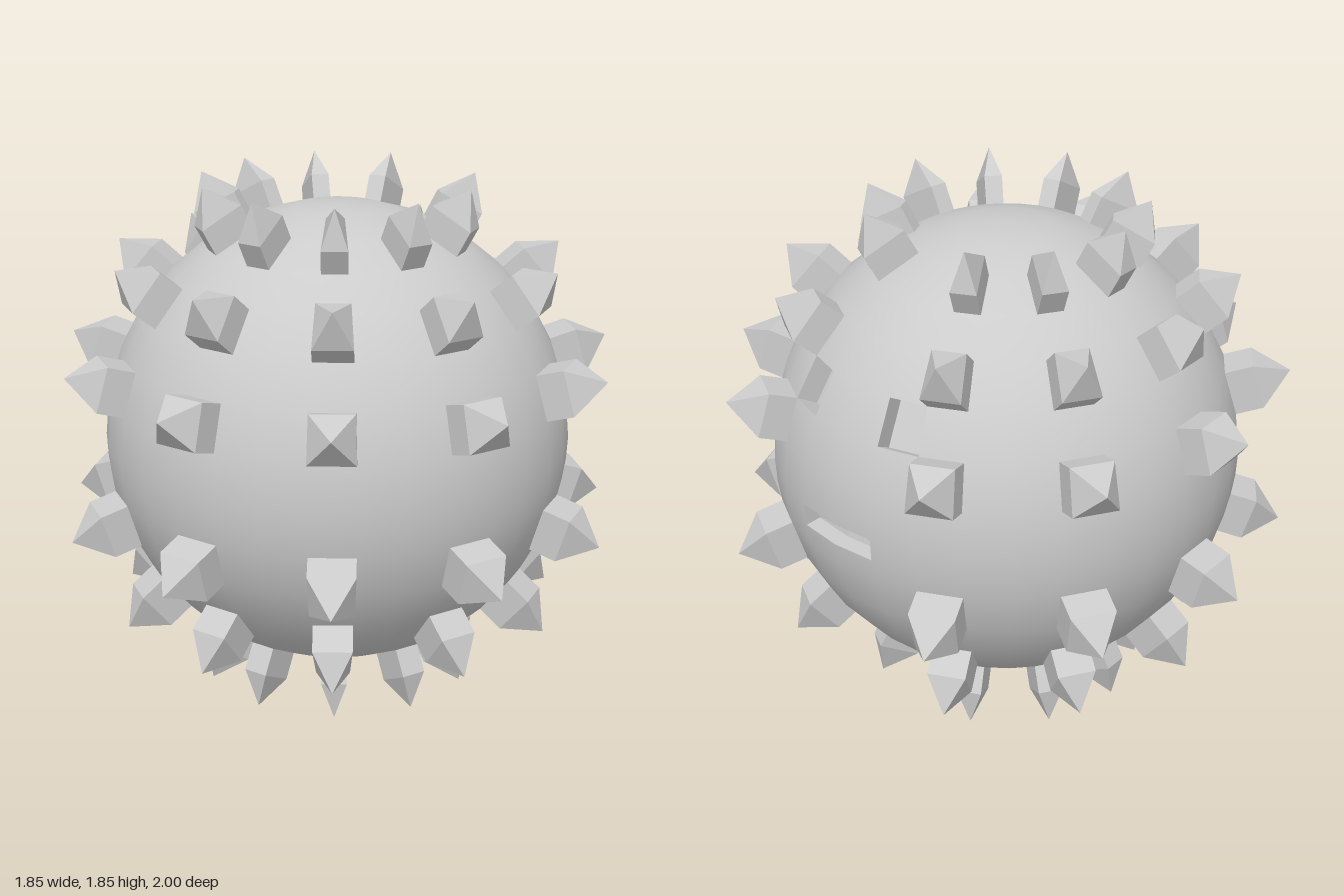
import * as THREE from 'three';

const R = 0.84;                 // body radius
const SEG = 32;                 // meridians of the body
const STEP = 360 / SEG;

// unit direction from azimuth (0 = +x, towards +z) and elevation, in degrees
function dir(az, el) {
  const a = THREE.MathUtils.degToRad(az), e = THREE.MathUtils.degToRad(el);
  return new THREE.Vector3(Math.cos(e) * Math.cos(a), Math.sin(e), Math.cos(e) * Math.sin(a));
}

// counter-clockwise rim of a patch spanning azimuths azs and elevations e0..e1
function patchRim(azs, e0, e1) {
  const low = [...azs].reverse().map(a => dir(a, e0).multiplyScalar(R));
  const high = azs.map(a => dir(a, e1).multiplyScalar(R));
  return [...low, ...high];
}

// push a rim along an axis, then close it with a fan to an apex
function extrudeRim(rim, axis, depth, apex) {
  const pos = [];
  const tri = (...pts) => pts.forEach(p => pos.push(p.x, p.y, p.z));
  const end = rim.map(p => p.clone().addScaledVector(axis, depth));
  rim.forEach((p, i) => {
    const j = (i + 1) % rim.length;
    tri(p, rim[j], end[j]);
    tri(p, end[j], end[i]);
    tri(end[i], end[j], apex);
  });
  const g = new THREE.BufferGeometry();
  g.setAttribute('position', new THREE.Float32BufferAttribute(pos, 3));
  g.computeVertexNormals();
  return g;
}

// smooth sphere from latitude rings, leaving out the open cells
function bodyGeometry(isOpen) {
  const els = [];
  for (let i = -8; i <= 8; i++) {
    els.push(i * STEP);
    if (i === -1) els.push(-STEP / 2);      // extra ring for the mouth
  }
  const pos = [], nor = [], idx = [];
  els.forEach((el, r) => {
    for (let s = 0; s <= SEG; s++) {
      const d = dir(s * STEP, el);
      nor.push(d.x, d.y, d.z);
      pos.push(d.x * R, d.y * R, d.z * R);
      if (r === els.length - 1 || s === SEG) continue;
      if (isOpen(s, el)) continue;
      const a = r * (SEG + 1) + s, b = a + SEG + 1;
      if (r > 0) idx.push(a + 1, a, b);
      if (r < els.length - 2) idx.push(a + 1, b, b + 1);
    }
  });
  const g = new THREE.BufferGeometry();
  g.setAttribute('position', new THREE.Float32BufferAttribute(pos, 3));
  g.setAttribute('normal', new THREE.Float32BufferAttribute(nor, 3));
  g.setIndex(idx);
  return g;
}

export function createModel() {
  const model = new THREE.Group();
  model.name = 'spikyBall';
  const smooth = new THREE.MeshStandardMaterial({ color: 0xcccccc });
  const flat = new THREE.MeshStandardMaterial({ color: 0xcccccc, flatShading: true });
  const add = (name, geometry, material, parent = model) => {
    const mesh = new THREE.Mesh(geometry, material);
    mesh.name = name;
    parent.add(mesh);
  };

  // cells that are raised into spikes or sunk into the face
  const spikeRows = [1, 3, 5, -2, -4, -6];
  const open = new Set();
  const key = (s, el) => `${s}:${el}`;

  // spikes: a square post with a pyramid tip on every third cell, none over the face
  const spikes = new THREE.Group();
  spikes.name = 'spikes';
  model.add(spikes);
  for (const row of spikeRows) {
    for (let k = 0; k < 10; k++) {
      const s = 2 + 3 * k, el = row * STEP;
      open.add(key(s, el));
      const axis = dir((s + 0.5) * STEP, el + STEP / 2);
      const rim = patchRim([s * STEP, (s + 1) * STEP], el, el + STEP);
      add('spike', extrudeRim(rim, axis, 0.1, axis.clone().multiplyScalar(1.05)), flat, spikes);
    }
  }

  // sunken eyes and mouth on the +x side
  const pocket = (name, azs, e0, e1, depth) => {
    const axis = dir((azs[0] + azs[azs.length - 1]) / 2, (e0 + e1) / 2);
    const rim = patchRim(azs, e0, e1);
    const floor = rim.reduce((sum, p) => sum.add(p), new THREE.Vector3())
      .divideScalar(rim.length).addScaledVector(axis, -depth);
    add(name, extrudeRim(rim, axis, -depth, floor), flat);
  };
  pocket('leftEye', [-2 * STEP, -STEP], 2 * STEP, 3 * STEP, 0.08);
  pocket('rightEye', [STEP, 2 * STEP], 2 * STEP, 3 * STEP, 0.08);
  pocket('mouth', [-STEP, 0, STEP], -STEP / 2, 0, 0.06);
  [[1, 2 * STEP], [30, 2 * STEP], [0, -STEP / 2], [31, -STEP / 2]].forEach(c => open.add(key(...c)));

  add('body', bodyGeometry((s, el) => open.has(key(s, el))), smooth);

  // stand on the ground, with the spikes centred
  model.children.forEach(part => part.position.set(0.037, 0.927, 0));
  return model;
}
